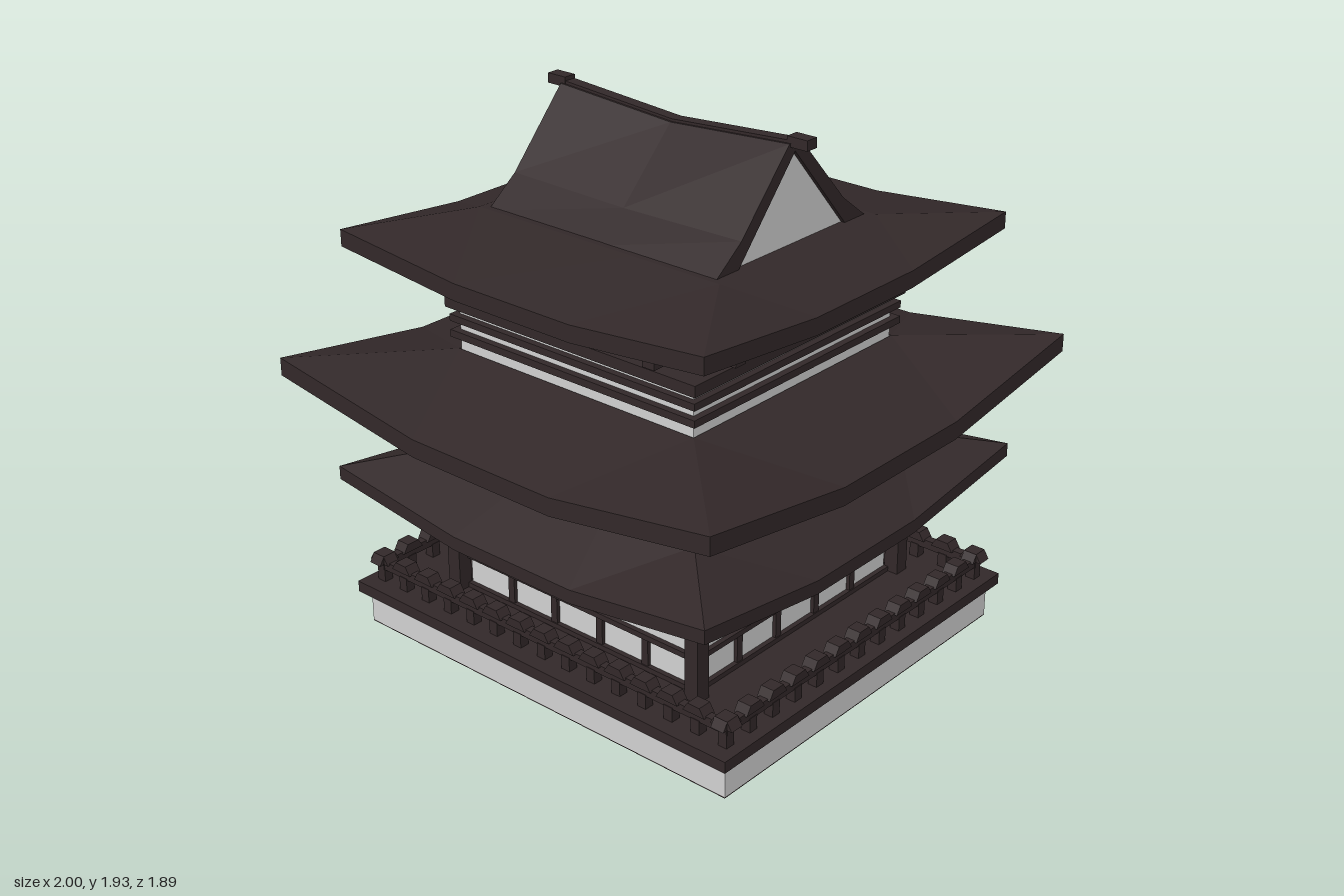
import * as THREE from 'three';

const timber = new THREE.MeshStandardMaterial({ color: 0x322829 });
timber.name = 'dark timber';
const plaster = new THREE.MeshStandardMaterial({ color: 0xd1d1d1 });
plaster.name = 'pale plaster';

function add(parent, name, geometry, material) {
  const mesh = new THREE.Mesh(geometry, material);
  mesh.name = name;
  parent.add(mesh);
  return mesh;
}

// Box given by its limits on each axis
function box(parent, name, material, x0, x1, y0, y1, z0, z1) {
  const mesh = add(parent, name, new THREE.BoxGeometry(x1 - x0, y1 - y0, z1 - z0), material);
  mesh.position.set((x0 + x1) / 2, (y0 + y1) / 2, (z0 + z1) / 2);
  return mesh;
}

// Centred box with half widths
const block = (parent, name, material, hx, hz, y0, y1) =>
  box(parent, name, material, -hx, hx, y0, y1, -hz, hz);

// Beam between two points in the local yz plane
function strut(parent, name, x, y0, z0, y1, z1, w, h) {
  const mesh = add(parent, name, new THREE.BoxGeometry(w, h, Math.hypot(y1 - y0, z1 - z0)), timber);
  mesh.position.set(x, (y0 + y1) / 2, (z0 + z1) / 2);
  mesh.rotation.x = -Math.atan2(y1 - y0, z1 - z0);
  return mesh;
}

function group(parent, name, x, z) {
  const g = new THREE.Group();
  g.name = name;
  g.position.set(x, 0, z);
  parent.add(g);
  return g;
}

// Calls build with a group turned to each of the four sides (0 = front, 1 = left)
function fourSides(parent, name, build) {
  for (let i = 0; i < 4; i++) {
    const side = group(parent, name, 0, 0);
    side.rotation.y = i * Math.PI / 2;
    build(side, i);
  }
}

// Hipped skirt roof: four rings, with eaves that sweep up to the corners
function eaves(parent, name, half, ix, iz, yIn, yMid, yCorner, thick) {
  const us = [-1, -0.32, 0.32];
  const ring = (hx, hz, y, lift) => {
    const pts = [];
    for (let s = 0; s < 4; s++) {
      for (const u of us) {
        const [px, pz] = [[u, 1], [1, -u], [-u, -1], [-1, u]][s];
        pts.push([px * hx, y + (u === -1 ? lift : 0), pz * hz]);
      }
    }
    return pts;
  };
  const lift = yCorner - yMid;
  const rings = [
    ring(ix, iz, yIn, 0),
    ring(half, half, yMid, lift),
    ring(half, half, yMid - thick, lift),
    ring(ix - 0.03, iz - 0.03, yIn - 0.035, 0),
  ];
  const pos = [];
  const n = rings[0].length;
  for (let r = 0; r < 4; r++) {
    for (let i = 0; i < n; i++) {
      const j = (i + 1) % n;
      const a = rings[r][i], b = rings[r][j];
      const c = rings[(r + 1) % 4][j], d = rings[(r + 1) % 4][i];
      // split so that the crease runs up from the straight part of the eaves
      if (i % 3 === 0) pos.push(...a, ...d, ...c, ...a, ...c, ...b);
      else pos.push(...a, ...d, ...b, ...b, ...d, ...c);
    }
  }
  const g = new THREE.BufferGeometry();
  g.setAttribute('position', new THREE.Float32BufferAttribute(pos, 3));
  g.computeVertexNormals();
  return add(parent, name, g, timber);
}

// Row of projecting bracket arms with slanting struts on every side
function brackets(parent, xs, wall, reach, y) {
  fourSides(parent, 'brackets', (side) => {
    for (const x of xs) {
      box(side, 'bracketArm', timber, x - 0.024, x + 0.024, y, y + 0.042, wall - 0.03, reach);
      strut(side, 'bracketStrut', x, y + 0.03, reach - 0.05, y + 0.1, wall - 0.03, 0.024, 0.025);
    }
  });
}

function prism(points, z0, z1, steps) {
  const shape = new THREE.Shape(points.map((p) => new THREE.Vector2(...p)));
  const g = new THREE.ExtrudeGeometry(shape, { depth: z1 - z0, steps, bevelEnabled: false });
  return g.translate(0, 0, z0);
}

// Lowers the middle of the ridge, fading out towards the foot of the roof
function sag(g) {
  const p = g.attributes.position;
  for (let i = 0; i < p.count; i++) {
    const dip = 0.033 * Math.max(0, 1 - Math.abs(p.getZ(i)) / 0.49);
    p.setY(i, p.getY(i) - dip * Math.max(0, (p.getY(i) - 1.56) / 0.35));
  }
  g.computeVertexNormals();
  return g;
}

function buildPlatform(m) {
  block(m, 'platformBase', plaster, 0.732, 0.822, 0.004, 0.13);
  block(m, 'platformUnderside', timber, 0.732, 0.822, 0, 0.004);
  block(m, 'platformDeck', timber, 0.767, 0.85, 0.125, 0.167);

  // Stairs on the left side with sloping stringers
  for (let i = 0; i < 4; i++) {
    box(m, 'step', plaster, 0.7, 0.79 + i * 0.063, 0, 0.168 - i * 0.042, -0.28, 0.28);
  }
  const slope = [[0.72, 0.168], [0.72, 0.125], [0.735, 0.125], [0.98, 0], [1.055, 0], [0.77, 0.168]];
  for (const s of [-1, 1]) {
    add(m, 'stairStringer', prism(slope, s * 0.292 - 0.017, s * 0.292 + 0.017, 1), timber);
  }

  // Low balustrade with tapered caps, open at the stairs
  const cap = [[-0.045, 0.243], [0.045, 0.243], [0.025, 0.275], [-0.025, 0.275]];
  fourSides(m, 'balustrade', (side, i) => {
    const out = i % 2 ? 0.69 : 0.79;
    const len = i % 2 ? 0.81 : 0.71;
    const spans = i === 1 ? [[-len, -0.28], [0.28, len]] : [[-len, len]];
    for (const [a, b] of spans) {
      box(side, 'handrail', timber, a, b, 0.215, 0.248, out - 0.016, out + 0.016);
      const n = Math.round((b - a) / 0.118);
      for (let k = 0; k <= n; k++) {
        const x = a + 0.02 + (b - a - 0.04) * k / n;
        box(side, 'baluster', timber, x - 0.018, x + 0.018, 0.16, 0.22, out - 0.018, out + 0.018);
        add(side, 'balusterCap', prism(cap, out - 0.026, out + 0.026, 1), timber).position.x = x;
      }
    }
  });
}

function buildLowerStorey(m) {
  block(m, 'lowerWall', plaster, 0.52, 0.52, 0.16, 0.66);
  fourSides(m, 'lowerFrame', (side, i) => {
    box(side, 'cornerPost', timber, 0.522, 0.578, 0.16, 0.63, 0.522, 0.578);
    box(side, 'lintel', timber, -0.53, 0.53, 0.5, 0.53, 0.5, 0.545);
    box(side, 'sillRail', timber, -0.53, 0.53, 0.285, 0.305, 0.5, 0.538);
    box(side, 'footRail', timber, -0.53, 0.53, 0.16, 0.185, 0.5, 0.538);
    for (const x of [-0.31, -0.105, 0.105, 0.31]) {
      box(side, 'panelPost', timber, x - 0.014, x + 0.014, 0.17, 0.29, 0.5, 0.534);
    }
    if (i === 1) box(side, 'door', timber, -0.137, 0.133, 0.167, 0.505, 0.535, 0.543);
  });
}

function buildMiddleStorey(m) {
  block(m, 'middleWall', plaster, 0.525, 0.525, 0.7, 1.05);
  block(m, 'middleSill', timber, 0.55, 0.55, 0.69, 0.763);
  fourSides(m, 'middleFrame', (side) => {
    box(side, 'cornerPost', timber, 0.512, 0.548, 0.75, 1.03, 0.512, 0.548);
    for (const x of [-0.28, 0, 0.28]) {
      box(side, 'wallPost', timber, x - 0.018, x + 0.018, 0.75, 1.0, 0.51, 0.545);
    }
    box(side, 'headBeam', timber, -0.53, 0.53, 0.905, 0.925, 0.51, 0.54);
  });
  brackets(group(m, 'middleBrackets', -0.014, 0.014), [-0.387, -0.13, 0.13, 0.387], 0.53, 0.705, 0.828);
  eaves(m, 'middleRoof', 0.945, 0.52, 0.52, 1.085, 0.972, 1.07, 0.065);
}

function buildTopStorey(m) {
  // Balcony with stacked rails
  block(m, 'balconyWall', plaster, 0.515, 0.515, 1.04, 1.25);
  block(m, 'balconyLowerRail', timber, 0.54, 0.54, 1.13, 1.156);
  block(m, 'balconyMiddleRail', timber, 0.54, 0.54, 1.188, 1.213);
  block(m, 'balconyTopRail', timber, 0.55, 0.55, 1.24, 1.28);
  block(m, 'topWall', plaster, 0.442, 0.442, 1.27, 1.51);
  brackets(group(m, 'topBrackets', 0, 0.01), [-0.37, -0.124, 0.124, 0.37], 0.445, 0.572, 1.295);
  eaves(m, 'topRoof', 0.782, 0.4, 0.52, 1.56, 1.475, 1.525, 0.06);
  block(m, 'topRoofDeck', timber, 0.4, 0.52, 1.53, 1.56);

  // Gabled crown with a sagging ridge
  const profile = [[-0.39, 1.55], [-0.28, 1.55], [0, 1.875], [0.28, 1.55], [0.39, 1.55],
    [0.26, 1.65], [0.03, 1.905], [-0.03, 1.905], [-0.26, 1.65]];
  add(m, 'gableRoof', sag(prism(profile, -0.49, 0.49, 2)), timber);
  const gable = [[-0.285, 1.55], [0.285, 1.55], [0, 1.88]];
  for (const s of [-1, 1]) {
    add(m, 'gableWall', prism(gable, s * 0.465 - 0.01, s * 0.465 + 0.01, 1), plaster);
    box(m, 'ridgeEnd', timber, -0.024, 0.024, 1.893, 1.928, s * 0.515 - 0.04, s * 0.515 + 0.04);
  }
  const ridge = [[-0.022, 1.88], [0.022, 1.88], [0.022, 1.915], [-0.022, 1.915]];
  add(m, 'ridgeBeam', sag(prism(ridge, -0.49, 0.49, 2)), timber);
}

export function createModel() {
  const model = new THREE.Group();
  model.name = 'castleTower';
  const tower = group(model, 'tower', -0.055, 0); // makes room for the stairs
  const ground = group(tower, 'groundFloor', 0, 0.01);
  buildPlatform(ground);
  buildLowerStorey(ground);
  eaves(tower, 'lowerRoof', 0.825, 0.545, 0.545, 0.72, 0.58, 0.655, 0.05);
  buildMiddleStorey(tower);
  buildTopStorey(tower);
  return model;
}
